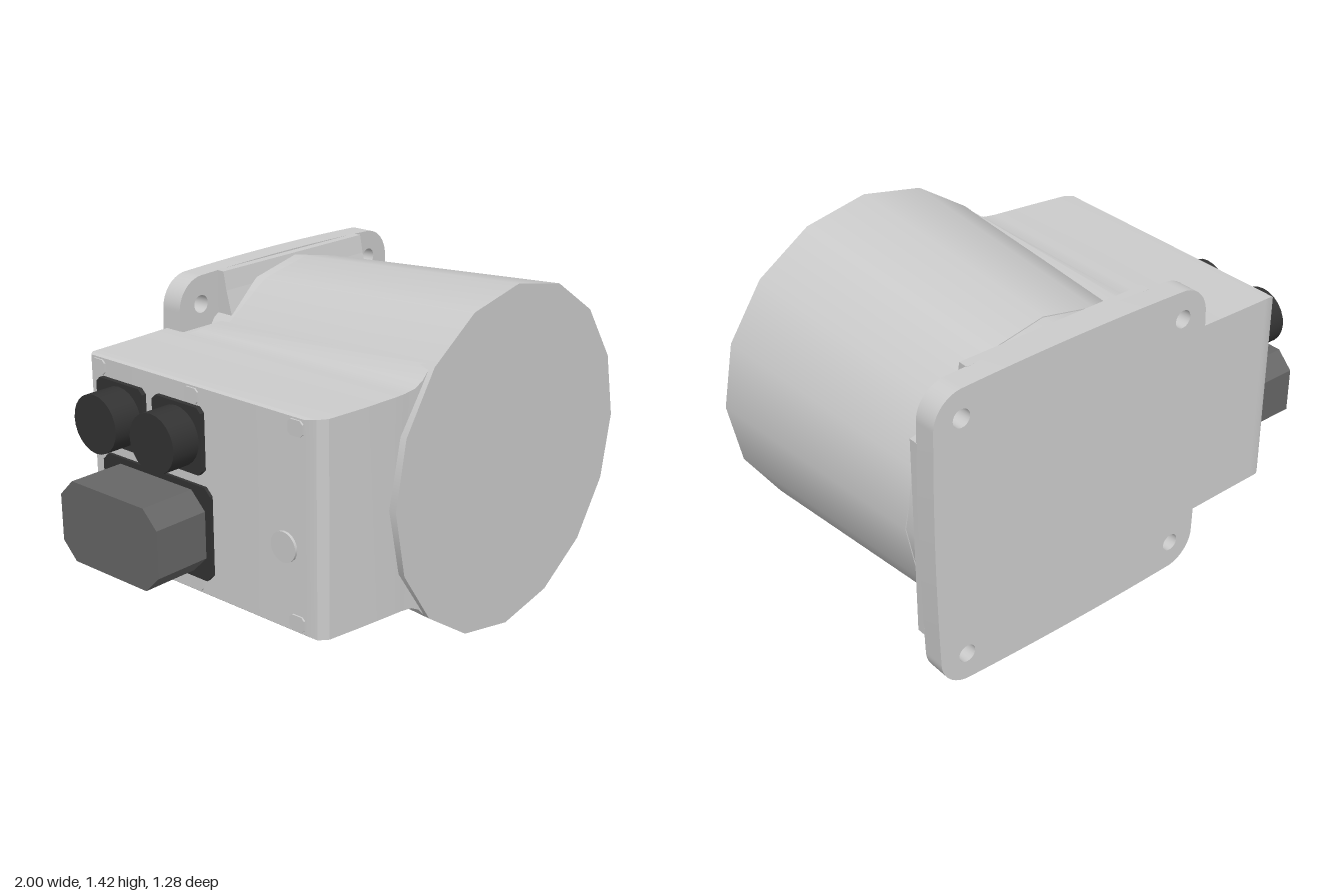
import * as THREE from 'three';
import { toCreasedNormals } from 'three/addons/utils/BufferGeometryUtils.js';

const CX = 0.29, CY = 0.71; // axis of the drum

export function createModel() {
  const model = new THREE.Group();
  const grey = new THREE.MeshStandardMaterial({ color: 0xcccccc });
  const midGrey = new THREE.MeshStandardMaterial({ color: 0x666666 });
  const dark = new THREE.MeshStandardMaterial({ color: 0x333333 });

  const add = (name, geometry, material = grey, parent = model) => {
    const mesh = new THREE.Mesh(geometry, material);
    mesh.name = name;
    parent.add(mesh);
    return mesh;
  };
  const poly = (pts) => new THREE.Shape(pts.map(([a, b]) => new THREE.Vector2(a, b)));
  const extrude = (shape, depth) =>
    new THREE.ExtrudeGeometry(shape, { depth, bevelEnabled: false, curveSegments: 10 });
  // Extrudes a (z, y) outline from x = x0 out to the right side (-x)
  const extrudeOut = (shape, x0, depth) =>
    toCreasedNormals(extrude(shape, depth).rotateY(-Math.PI / 2).translate(x0, 0, 0), 0.6);
  // Rectangle with cut corners
  const chamfered = (x0, x1, y0, y1, c) => poly([
    [x0 + c, y0], [x1 - c, y0], [x1, y0 + c], [x1, y1 - c],
    [x1 - c, y1], [x0 + c, y1], [x0, y1 - c], [x0, y0 + c],
  ]);

  // Tapered drum and the short neck behind it
  const drum = new THREE.CylinderGeometry(0.708, 0.632, 1.09, 16).rotateX(Math.PI / 2);
  add('drum', drum).position.set(CX, CY, 0.095);
  const neck = new THREE.CylinderGeometry(0.628, 0.628, 0.1, 16).rotateX(Math.PI / 2);
  add('neck', neck).position.set(CX, CY, -0.495);

  // Mounting flange: square with slightly bowed sides, round corners, four bolt holes
  const flange = new THREE.Group();
  flange.name = 'mountingFlange';
  flange.position.set(CX, CY, 0);
  model.add(flange);

  const h = 0.633, r = 0.13, bow = 0.652;
  const plate = new THREE.Shape();
  plate.moveTo(r - h, -h);
  for (let k = 0; k < 4; k++) {
    const a = k * Math.PI / 2, c = Math.round(Math.cos(a)), s = Math.round(Math.sin(a));
    const p = (x, y) => [x * c - y * s, x * s + y * c];
    plate.quadraticCurveTo(...p(0, -bow), ...p(h - r, -h));
    const [ox, oy] = p(h - r, r - h);
    plate.absarc(ox, oy, r, a - Math.PI / 2, a, false);
  }
  for (const x of [-0.515, 0.515]) for (const y of [-0.515, 0.515]) {
    const hole = new THREE.Path();
    hole.absarc(x, y, 0.037, 0, Math.PI * 2, true);
    plate.holes.push(hole);
  }
  add('flangePlate', toCreasedNormals(extrude(plate, 0.095), 0.6), grey, flange).position.z = -0.64;

  // Four sloped shoulders between drum and flange, leaving pockets at the bolts
  const shoulder = poly([[0.35, -0.55], [0.637, -0.55], [0.637, -0.51], [0.56, -0.495], [0.45, -0.465], [0.35, -0.46]]);
  const toUpper = new THREE.Matrix4().makeBasis(
    new THREE.Vector3(0, 1, 0), new THREE.Vector3(0, 0, 1), new THREE.Vector3(1, 0, 0));
  for (let k = 0; k < 4; k++) {
    const g = extrude(shoulder, 0.84).translate(0, 0, -0.42).applyMatrix4(toUpper).rotateZ(k * Math.PI / 2);
    add('flangeShoulder', g, grey, flange);
  }

  // Terminal box, lofted along x: [x, half height at back, half height at front, back z, front z]
  const sections = [
    [-0.745, 0.412, 0.412, -0.615, 0.5], [-0.735, 0.42, 0.42, -0.62, 0.545],
    [-0.7, 0.421, 0.421, -0.62, 0.572], [-0.55, 0.423, 0.423, -0.62, 0.592],
    [-0.4, 0.426, 0.426, -0.62, 0.608], [-0.345, 0.427, 0.428, -0.62, 0.612],
    [-0.344, 0.427, 0.428, -0.5, 0.612], [-0.29, 0.429, 0.435, -0.5, 0.615],
    [-0.25, 0.432, 0.455, -0.5, 0.617], [-0.2, 0.438, 0.505, -0.5, 0.617],
    [0, 0.44, 0.505, -0.5, 0.617],
  ];
  const pos = [], index = [];
  for (const [x, hb, hf, zb, zf] of sections)
    pos.push(x, CY - hb, zb, x, CY - hf, zf, x, CY + hf, zf, x, CY + hb, zb);
  for (let i = 0; i < sections.length - 1; i++) for (let j = 0; j < 4; j++) {
    const a = i * 4 + j, b = i * 4 + (j + 1) % 4;
    index.push(a, a + 4, b, b, a + 4, b + 4);
  }
  const e = (sections.length - 1) * 4;
  index.push(0, 1, 2, 0, 2, 3, e, e + 2, e + 1, e, e + 3, e + 2);
  const box = new THREE.BufferGeometry();
  box.setAttribute('position', new THREE.Float32BufferAttribute(pos, 3));
  box.setIndex(index);
  add('terminalBox', toCreasedNormals(box, 0.5));

  // Cover screws along the upper and lower edges of the box
  for (const z of [-0.57, -0.06, 0.46]) for (const y of [0.335, 1.085])
    add('coverScrew', extrudeOut(chamfered(z - 0.035, z + 0.035, y - 0.03, y + 0.03, 0.012), -0.738, 0.014));

  // Round plug in the cover
  const plug = new THREE.CylinderGeometry(0.06, 0.06, 0.016, 20).rotateZ(Math.PI / 2);
  add('coverPlug', plug).position.set(-0.748, 0.62, 0.4);

  // Two round connectors on square bases
  for (const z of [-0.44, -0.127]) {
    add('connectorBase', extrudeOut(chamfered(z - 0.13, z + 0.13, 0.785, 1.05, 0.02), -0.74, 0.025), dark);
    const barrel = new THREE.CylinderGeometry(0.118, 0.118, 0.15, 24).rotateZ(Math.PI / 2);
    add('roundConnector', barrel, dark).position.set(-0.815, 0.917, z);
  }

  // Large power connector
  add('powerConnectorBase', extrudeOut(chamfered(-0.56, 0.035, 0.36, 0.74, 0.03), -0.74, 0.018), dark);
  add('powerConnector', extrudeOut(chamfered(-0.53, 0.005, 0.385, 0.715, 0.07), -0.75, 0.25), midGrey);

  return model;
}
